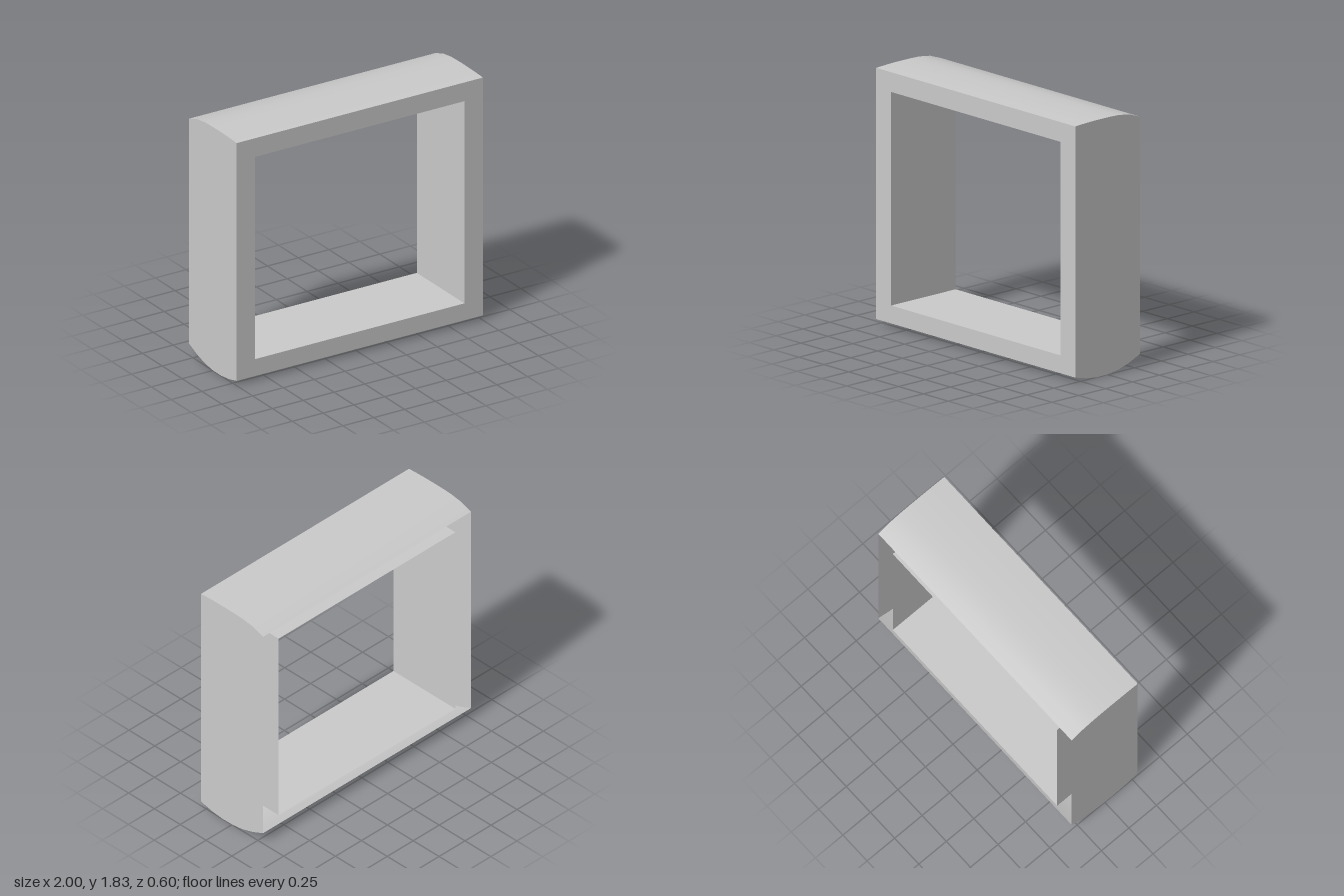
import * as THREE from 'three';

const HALF_W = 1, HALF_D = 0.3;
const OPEN_X = 0.85, OPEN_BOTTOM = 0.165, OPEN_TOP = 1.68;

// Heights of the curved skins, evenly spaced from back to front
const topCurve = [1.775, 1.81, 1.824, 1.827, 1.827, 1.825, 1.82];
const bottomCurve = [0.09, 0.047, 0.017, 0.003, 0.002, 0.014, 0.038];
const STEPS = topCurve.length - 1;
const zAt = (i) => -HALF_D + (2 * HALF_D * i) / STEPS;

const material = new THREE.MeshStandardMaterial({ color: 0xcccccc, side: THREE.DoubleSide });

export function createModel() {
  const group = new THREE.Group();
  const add = (name, geometry) => {
    const mesh = new THREE.Mesh(geometry, material);
    mesh.name = name;
    group.add(mesh);
    return mesh;
  };

  // Curved top and bottom: a flat sheet bent along its depth
  const curvedSkin = (name, curve, facing) => {
    const geo = new THREE.PlaneGeometry(2 * HALF_W, 2 * HALF_D, 1, STEPS);
    geo.rotateX((-facing * Math.PI) / 2);
    const pos = geo.attributes.position;
    for (let i = 0; i < pos.count; i++) {
      const step = Math.round(((pos.getZ(i) + HALF_D) / (2 * HALF_D)) * STEPS);
      pos.setY(i, curve[step]);
    }
    geo.computeVertexNormals();
    add(name, geo);
  };
  curvedSkin('topSkin', topCurve, 1);
  curvedSkin('bottomSkin', bottomCurve, -1);

  // Flat outer sides, following the curved skins
  for (const side of [1, -1]) {
    const outline = [
      ...bottomCurve.map((y, i) => new THREE.Vector2(-side * zAt(i), y)),
      ...topCurve.map((y, i) => new THREE.Vector2(-side * zAt(i), y)).reverse(),
    ];
    const geo = new THREE.ShapeGeometry(new THREE.Shape(outline));
    geo.rotateY((side * Math.PI) / 2).translate(side * HALF_W, 0, 0);
    add(side > 0 ? 'leftSide' : 'rightSide', geo);
  }

  // Front face with the rectangular opening; the back stays open
  const rectangle = (path, x, y0, y1) =>
    path.moveTo(-x, y0).lineTo(x, y0).lineTo(x, y1).lineTo(-x, y1).closePath();
  const front = rectangle(new THREE.Shape(), HALF_W, bottomCurve[STEPS], topCurve[STEPS]);
  front.holes.push(rectangle(new THREE.Path(), OPEN_X, OPEN_BOTTOM, OPEN_TOP));
  add('frontFace', new THREE.ShapeGeometry(front).translate(0, 0, HALF_D));

  // Thin lining walls running from the opening to the back
  const midY = (OPEN_BOTTOM + OPEN_TOP) / 2;
  for (const side of [1, -1]) {
    const wall = new THREE.PlaneGeometry(2 * HALF_D, OPEN_TOP - OPEN_BOTTOM);
    wall.rotateY((-side * Math.PI) / 2).translate(side * OPEN_X, midY, 0);
    add(side > 0 ? 'leftLining' : 'rightLining', wall);

    const sheet = new THREE.PlaneGeometry(2 * OPEN_X, 2 * HALF_D);
    sheet.rotateX((side * Math.PI) / 2).translate(0, side > 0 ? OPEN_TOP : OPEN_BOTTOM, 0);
    add(side > 0 ? 'topLining' : 'bottomLining', sheet);
  }

  return group;
}
